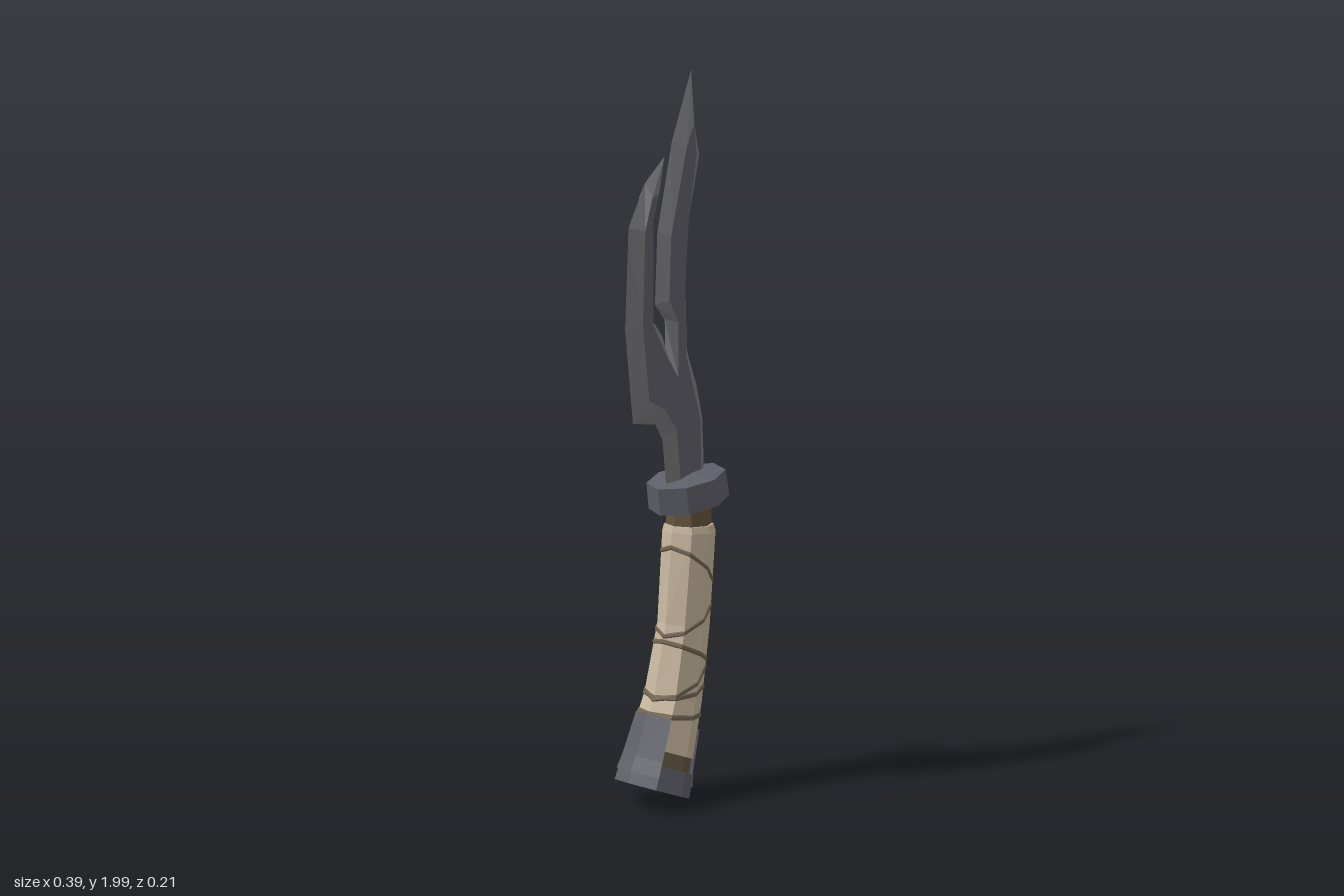
import * as THREE from 'three';

const mat = (name, color, extra = {}) => {
  const m = new THREE.MeshStandardMaterial({ color, flatShading: true, ...extra });
  m.name = name;
  return m;
};

// Handle spine: centre x, centre y, half width x, half depth z, tilt
const SPINE = [
  [-0.09, 0.05, 0.108, 0.106, -0.4],
  [-0.065, 0.12, 0.094, 0.095, -0.41],
  [0.0, 0.29, 0.083, 0.08, -0.33],
  [0.045, 0.49, 0.077, 0.07, -0.17],
  [0.068, 0.75, 0.073, 0.075, -0.03],
  [0.065, 0.87, 0.073, 0.075, 0.1],
];

// Point on the handle at spine height y, angle a, with radius scale k
function handlePoint(y, a, k = 1) {
  let i = 0;
  while (i < SPINE.length - 2 && y > SPINE[i + 1][1]) i++;
  const A = SPINE[i], B = SPINE[i + 1];
  const f = (y - A[1]) / (B[1] - A[1]);
  const [cx, cy, rx, rz, t] = A.map((v, j) => v + (B[j] - v) * f);
  const r = rx * k * Math.cos(a);
  return new THREE.Vector3(cx + r * Math.cos(t), cy + r * Math.sin(t), rz * k * Math.sin(a));
}

function fromTriangles(points) {
  const g = new THREE.BufferGeometry().setFromPoints(points);
  g.computeVertexNormals();
  return g;
}

// Skin a stack of closed rings, lowest first
function loft(rings, caps = true) {
  const out = [];
  const n = rings[0].length;
  for (let r = 0; r < rings.length - 1; r++) {
    const L = rings[r], H = rings[r + 1];
    for (let i = 0; i < n; i++) {
      const j = (i + 1) % n;
      out.push(L[i], H[i], L[j], L[j], H[i], H[j]);
    }
  }
  if (caps) {
    const cap = (ring, up) => {
      const c = ring.reduce((s, p) => s.add(p), new THREE.Vector3()).divideScalar(n);
      ring.forEach((p, i) => {
        const q = ring[(i + 1) % n];
        out.push(c, ...(up ? [q, p] : [p, q]));
      });
    };
    cap(rings[0], false);
    cap(rings[rings.length - 1], true);
  }
  return fromTriangles(out);
}

const ANGLES = Array.from({ length: 8 }, (_, i) => (i * Math.PI) / 4);
const ring = (y, k) => ANGLES.map((a) => handlePoint(y, a, k));

// Blade outline, counter-clockwise: edge x, edge y, ridge x, ridge y
const BLADE = [
  [0.135, 0.88, 0.095, 0.88], [0.125, 1.06, 0.088, 1.06],
  [0.1, 1.15, 0.065, 1.13], [0.058, 1.25, 0.027, 1.24],
  [0.05, 1.44, 0.024, 1.43], [0.065, 1.6, 0.038, 1.6],
  [0.11, 1.775, 0.07, 1.775], [0.09, 1.85, 0.063, 1.84],
  [0.075, 2.0, 0.056, 1.85], [-0.005, 1.81, 0.028, 1.79],
  [-0.065, 1.57, -0.035, 1.56], [-0.075, 1.38, -0.042, 1.39],
  [-0.035, 1.34, -0.004, 1.33], [-0.01, 1.21, -0.004, 1.18],
  [-0.045, 1.295, -0.065, 1.26], [-0.09, 1.345, -0.108, 1.33],
  [-0.088, 1.62, -0.108, 1.6], [-0.035, 1.77, -0.085, 1.67],
  [-0.115, 1.7, -0.11, 1.665], [-0.18, 1.585, -0.14, 1.575],
  [-0.195, 1.32, -0.15, 1.33], [-0.165, 1.07, -0.125, 1.13],
  [-0.075, 1.06, -0.06, 1.1], [-0.045, 1.015, -0.012, 1.04],
  [-0.028, 0.88, 0.008, 0.88],
];

function bladeGeometries(t) {
  const flats = [], bevels = [];
  const ridge = BLADE.map((p) => new THREE.Vector2(p[2], p[3]));
  const faces = THREE.ShapeUtils.triangulateShape(ridge, []);
  for (const s of [1, -1]) {
    const add = (list, a, b, c) => list.push(...(s > 0 ? [a, b, c] : [a, c, b]));
    const inner = ridge.map((p) => new THREE.Vector3(p.x, p.y, s * t));
    const outer = BLADE.map((p) => new THREE.Vector3(p[0], p[1], 0));
    faces.forEach(([a, b, c]) => add(flats, inner[a], inner[b], inner[c]));
    inner.forEach((p, i) => {
      const j = (i + 1) % inner.length;
      add(bevels, outer[i], outer[j], inner[j]);
      add(bevels, outer[i], inner[j], p);
    });
  }
  return [fromTriangles(flats), fromTriangles(bevels)];
}

export function createModel() {
  const group = new THREE.Group();
  const steel = mat('dark steel', 0x5f5f69);
  const edge = mat('ground edge', 0x7a7a7d, { side: THREE.DoubleSide });
  const tan = mat('tan wrap', 0xc8b79e);
  const cord = mat('cord', 0x716450);
  const wood = mat('brown core', 0x65553f);

  const add = (name, geometry, material, parent = group) => {
    const m = new THREE.Mesh(geometry, material);
    m.name = name;
    parent.add(m);
    return m;
  };

  // Forked blade with bevelled edges
  const [flats, bevels] = bladeGeometries(0.023);
  add('bladeFaces', flats, steel);
  add('bladeEdges', bevels, edge);

  // Tilted octagonal guard with a slightly domed top
  const profile = [[0, -0.038], [0.125, -0.038], [0.122, 0.036], [0, 0.052]];
  const guard = add('guard', new THREE.LatheGeometry(profile.map(([x, y]) => new THREE.Vector2(x, y)), 8), steel);
  guard.scale.z = 0.82;
  guard.rotation.z = 0.18;
  guard.position.set(0.062, 0.868, 0);

  // Handle: core showing at both ends of the wrap
  add('core', loft([0.08, 0.16, 0.29, 0.49, 0.75, 0.86].map((y) => ring(y, y < 0.2 ? 0.94 : 0.85))), wood);
  add('gripWrap', loft([[0.15, 1], [0.29, 1], [0.49, 1], [0.75, 1], [0.77, 0.93]].map(([y, k]) => ring(y, k))), tan);

  // Slanted cords: spine height on the right-hand and left-hand sides
  const cords = new THREE.Group();
  cords.name = 'cords';
  group.add(cords);
  const slants = [[0.71, 0.6], [0.455, 0.565], [0.44, 0.4], [0.275, 0.405], [0.28, 0.345], [0.235, 0.265]];
  for (const [yNeg, yPos] of slants) {
    const band = [[-0.008, 0.98], [-0.004, 1.04], [0.004, 1.04], [0.008, 0.98]].map(([d, k]) =>
      ANGLES.map((a) => handlePoint((yNeg + yPos) / 2 + ((yPos - yNeg) / 2) * Math.cos(a) + d, a, k)));
    add('cord', loft(band, false), cord, cords);
  }

  // Pommel cap and the two tongues clasping the grip
  add('pommel', loft([ring(0.05, 1), ring(0.112, 1.06)]), steel);
  for (const [name, mid, top] of [['leftTongue', 0, 0.225], ['rightTongue', Math.PI, 0.235]]) {
    const angles = [-1, 0, 1].map((i) => mid + (i * Math.PI) / 4);
    const section = (y) => [
      ...angles.map((a) => handlePoint(y, a, 1.07)),
      ...angles.slice().reverse().map((a) => handlePoint(y, a, 0.95)),
    ];
    add(name, loft([0.08, 0.12, top].map(section)), steel);
  }
  return group;
}
